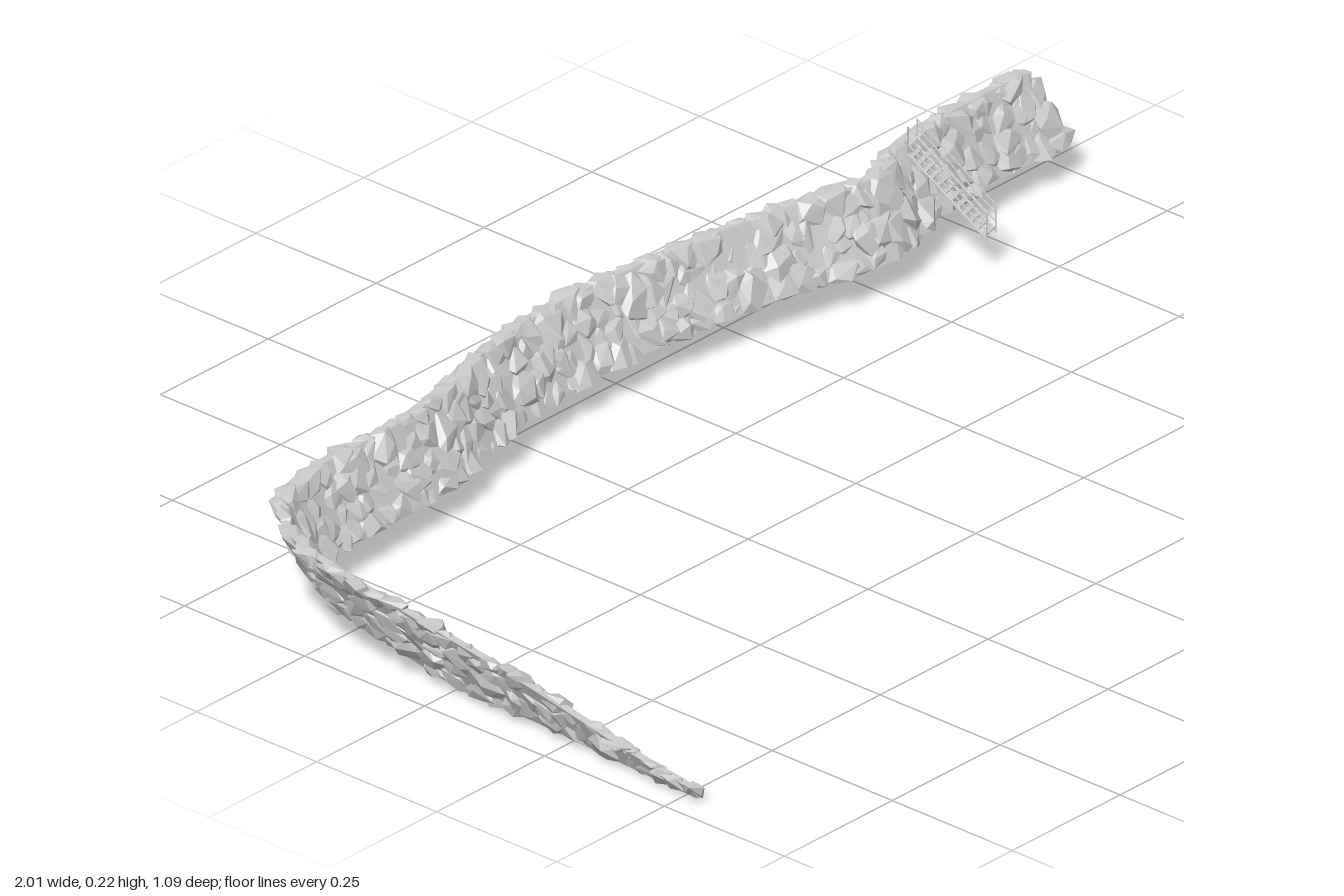
import * as THREE from 'three';
import { mergeGeometries } from 'three/addons/utils/BufferGeometryUtils.js';
import { ConvexGeometry } from 'three/addons/geometries/ConvexGeometry.js';

// Course of the wall: x, z, bottom y, top y
const COURSE = [
  [0.985, -0.475, 0.063, 0.187], [0.8, -0.473, 0.063, 0.19], [0.65, -0.46, 0.063, 0.19],
  [0.52, -0.415, 0.063, 0.19], [0.35, -0.45, 0.063, 0.19], [0.2, -0.475, 0.063, 0.19],
  [0, -0.495, 0.063, 0.19], [-0.12, -0.498, 0.063, 0.19], [-0.3, -0.475, 0.063, 0.19],
  [-0.45, -0.435, 0.063, 0.19], [-0.58, -0.412, 0.063, 0.19], [-0.75, -0.41, 0.063, 0.19],
  [-0.87, -0.37, 0.063, 0.192], [-0.94, -0.28, 0.058, 0.192], [-0.962, -0.15, 0.045, 0.18],
  [-0.957, 0, 0.014, 0.155], [-0.951, 0.2, 0.01, 0.11], [-0.951, 0.4, 0.009, 0.06],
  [-0.953, 0.545, 0.01, 0.034],
];
const LEAN = 0.52; // the wall leans back as it rises

const material = new THREE.MeshStandardMaterial({ color: 0xcccccc, flatShading: true });

function seeded(seed) {
  return () => {
    seed = (seed * 16807) % 2147483647;
    return seed / 2147483647;
  };
}

const curveOf = (k) => new THREE.CatmullRomCurve3(
  COURSE.map((c) => new THREE.Vector3(c[0], c[k], c[1])), false, 'catmullrom', 0.5);
const bottomCurve = curveOf(2), topCurve = curveOf(3);

// Local frame of the wall at u (0..1)
function frameAt(u) {
  const t = bottomCurve.getUtoTmapping(u);
  const low = bottomCurve.getPoint(t), high = topCurve.getPoint(t).y;
  const along = bottomCurve.getTangent(t).setY(0).normalize();
  const out = new THREE.Vector3(along.z, 0, -along.x);
  return { low, bottom: low.y, top: high, mid: (low.y + high) / 2, along, out };
}

// Point on the leaning wall: s along, y absolute height, n outwards
function place(f, s, y, n) {
  const p = new THREE.Vector3(f.low.x, y, f.low.z);
  return p.addScaledVector(f.along, s).addScaledVector(f.out, n - (y - f.mid) * LEAN);
}

// Angular stone: hull of jittered points on a flattened ellipsoid
function stone(f, y, rs, ry, rn, n0, random) {
  const points = [];
  const count = 13, turn = random() * 6.28, tilt = (random() - 0.5) * 2.4;
  for (let i = 0; i < count; i++) {
    const c = 1 - (2 * i + 1) / count, r = Math.sqrt(1 - c * c);
    const a = turn + i * 2.4 + random() * 0.8, k = 0.85 + random() * 0.4;
    const ps = Math.cos(a) * r * k * rs, py = Math.sin(a) * r * k * ry;
    const s = ps * Math.cos(tilt) - py * Math.sin(tilt);
    const h = y + ps * Math.sin(tilt) + py * Math.cos(tilt);
    const edge = random() * 0.006;
    const yy = Math.min(f.top - edge, Math.max(f.bottom + edge, h));
    points.push(place(f, s, yy, n0 + c * k * rn));
  }
  return new ConvexGeometry(points);
}

function buildStones() {
  const random = seeded(4711), parts = [], columns = 80;
  for (let i = 0; i < columns; i++) {
    const base = (i + 0.5) / columns;
    const h0 = frameAt(base);
    const rows = Math.max(1, Math.round((h0.top - h0.bottom) / 0.031));
    for (let j = 0; j < rows; j++) {
      const level = (j + 0.5 + (random() - 0.5) * 0.6) / rows;
      const u = base + ((j % 2) * 0.5 - 0.25 + (random() - 0.5) * 0.8) / columns;
      // The free end slopes back towards its top
      const f = frameAt(Math.min(0.994, Math.max(0.006 + 0.01 * level, u)));
      const h = f.top - f.bottom;
      const size = (0.8 + random() * 0.55) * Math.min(1, 0.6 + h * 4);
      const ry = Math.max(0.016, h / rows * 0.74) * size;
      parts.push(stone(f, f.bottom + h * level, 0.03 * size, ry, 0.015 * size,
        (random() - 0.5) * 0.009, random));
    }
  }
  const mesh = new THREE.Mesh(mergeGeometries(parts), material);
  mesh.name = 'wallStones';
  return mesh;
}

// Thin closed core that fills the gaps between the stones
function buildCore() {
  const N = 120, pos = [], index = [];
  for (let i = 0; i <= N; i++) {
    const f = frameAt(0.012 + 0.982 * i / N);
    const lo = f.bottom + 0.005, hi = f.top - 0.005;
    for (const [y, n] of [[lo, 0.007], [hi, 0.007], [hi, -0.007], [lo, -0.007]]) {
      pos.push(...place(f, 0, y, n).toArray());
    }
    if (i < N) for (let k = 0; k < 4; k++) {
      const a = i * 4 + k, b = i * 4 + (k + 1) % 4;
      index.push(a, b, a + 4, b, b + 4, a + 4);
    }
  }
  const e = N * 4;
  index.push(0, 2, 1, 0, 3, 2, e, e + 1, e + 2, e, e + 2, e + 3);
  const g = new THREE.BufferGeometry();
  g.setAttribute('position', new THREE.Float32BufferAttribute(pos, 3));
  g.setIndex(index);
  g.computeVertexNormals();
  const coreMaterial = material.clone();
  coreMaterial.side = THREE.DoubleSide;
  const mesh = new THREE.Mesh(g, coreMaterial);
  mesh.name = 'wallCore';
  return mesh;
}

// Straight bar between two points
function bar(name, a, b, r) {
  const mesh = new THREE.Mesh(new THREE.CylinderGeometry(r, r, a.distanceTo(b), 6), material);
  mesh.position.copy(a).lerp(b, 0.5);
  mesh.quaternion.setFromUnitVectors(new THREE.Vector3(0, 1, 0), b.clone().sub(a).normalize());
  mesh.name = name;
  return mesh;
}

// Stairway climbing over the wall, built along local -z
function buildStairs() {
  const stairs = new THREE.Group();
  stairs.name = 'stairs';
  const run = 0.136, rise = 0.118, half = 0.016, steps = 12;
  const at = (x, t, lift) => new THREE.Vector3(x, rise * t + lift, -run * t);
  for (const x of [-half, half]) {
    stairs.add(bar('stringer', at(x, 0, 0), at(x, 1, 0), 0.0025));
    for (const lift of [0.016, 0.031, 0.046]) {
      stairs.add(bar('handrail', at(x, 0, lift), at(x, 1, lift), 0.0014));
    }
    for (const t of [0, 1]) {
      stairs.add(bar('railPost', at(x, t, -0.002), at(x, t, 0.047), 0.0015));
    }
  }
  for (let i = 0; i < steps; i++) {
    const tread = new THREE.Mesh(new THREE.BoxGeometry(half * 2, 0.002, 0.009), material);
    tread.position.copy(at(0, (i + 0.5) / steps, 0.001));
    tread.name = 'tread';
    stairs.add(tread);
  }
  stairs.position.set(0.672, 0.069, -0.322);
  stairs.rotation.y = 0.27;
  return stairs;
}

export function createModel() {
  const model = new THREE.Group();
  model.name = 'rockSeawall';
  model.add(buildCore(), buildStones(), buildStairs());
  return model;
}
